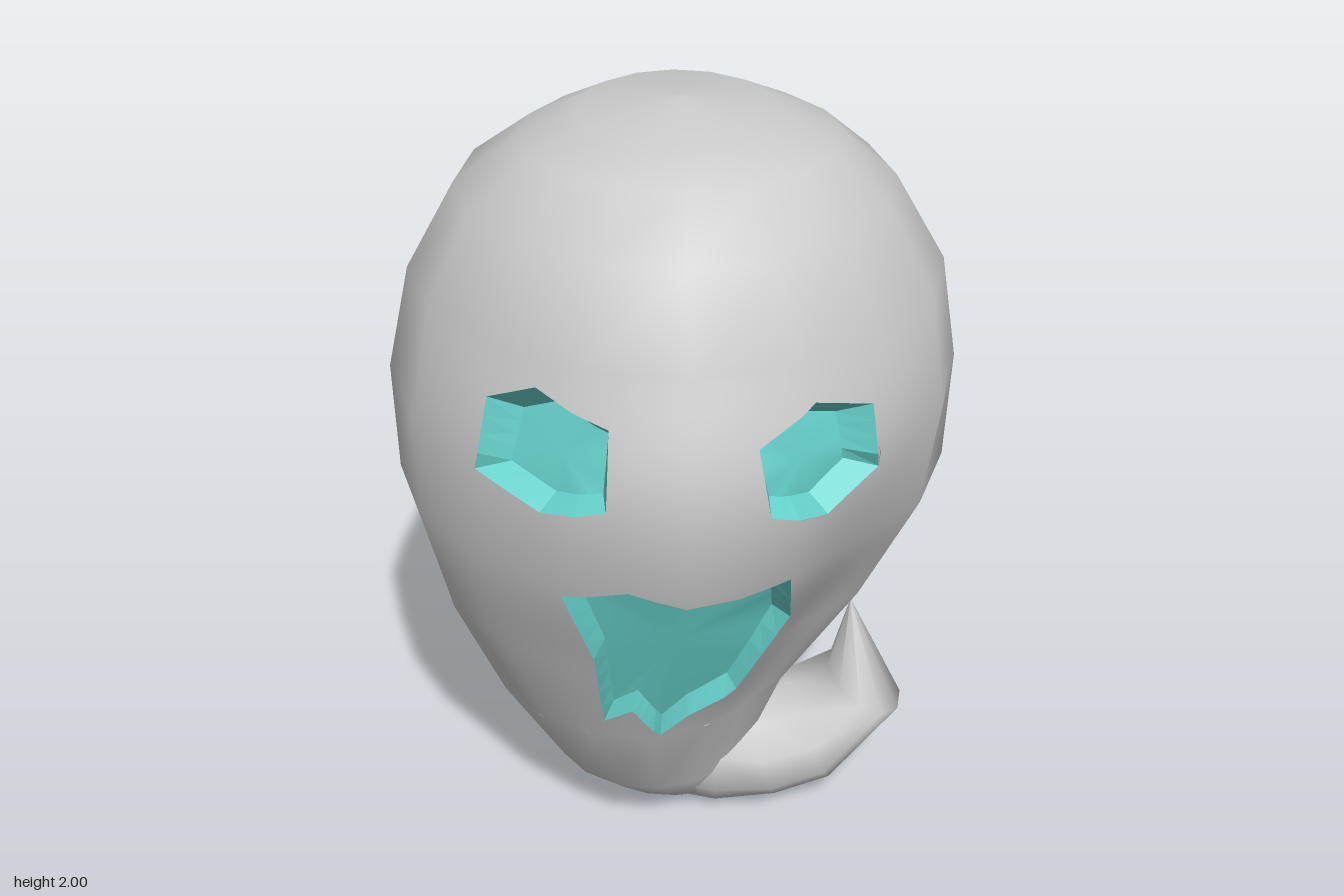
import * as THREE from 'three';
import { mergeGeometries } from 'three/addons/utils/BufferGeometryUtils.js';

const grey = new THREE.MeshStandardMaterial({ color: 0xcccccc });
const teal = new THREE.MeshStandardMaterial({ color: 0x66d0ca });

// Body rings from bottom to top: y, left x, right x, front z, back z,
// and how much the front is flattened on the -x and +x side
const RINGS = [
  [0.01, 0.08, 0.08, 0, 0, 0, 0],
  [0.07, -0.2, 0.2, 0.14, 0.18, 0, 0],
  [0.19, -0.32, 0.21, 0.25, 0.3, 0, 0.04],
  [0.45, -0.48, 0.33, 0.37, 0.46, 0.02, 0.13],
  [0.75, -0.61, 0.55, 0.52, 0.585, 0.03, 0.18],
  [1.05, -0.685, 0.68, 0.66, 0.67, 0.05, 0.13],
  [1.33, -0.69, 0.69, 0.7, 0.695, 0.06, 0.06],
  [1.59, -0.63, 0.645, 0.62, 0.66, 0.05, 0.04],
  [1.8, -0.51, 0.52, 0.52, 0.55, 0.02, 0.02],
  [1.91, -0.36, 0.39, 0.36, 0.38, 0, 0],
  [1.97, -0.22, 0.24, 0.27, 0.27, 0, 0],
  [2.0, 0.02, 0.02, 0, 0, 0, 0],
];
const ROWS = RINGS.length - 1, SIDES = 16, STEP = Math.PI * 2 / SIDES;
const spline = (fn) => new THREE.CatmullRomCurve3(RINGS.map(fn), false, 'catmullrom');
const widths = spline(([y, l, r]) => new THREE.Vector3((l + r) / 2, y, (r - l) / 2));
const depths = spline(([, , , f, b]) => new THREE.Vector3(f, b, 0));
const flats = spline((r) => new THREE.Vector3(r[5], r[6], 0));

// Smooth body: a is the angle from the front, t the ring number
function smoothSurface(a, t) {
  const w = widths.getPoint(t / ROWS), d = depths.getPoint(t / ROWS), f = flats.getPoint(t / ROWS);
  const s = Math.sin(a), c = Math.cos(a);
  const k = c > 0 ? 1 - (s < 0 ? f.x : f.y) * Math.sin(2 * a) ** 2 : 1;
  return new THREE.Vector3(w.x + w.z * s * k, w.y, c * k * (c > 0 ? d.x : d.y));
}

// Faceted body: straight between the sides and rings
function surface(a, t) {
  const i = Math.floor(a / STEP + 1e-6), j = Math.min(Math.floor(t + 1e-6), ROWS - 1);
  const row = (n) => smoothSurface(i * STEP, n).lerp(smoothSurface((i + 1) * STEP, n), a / STEP - i);
  return row(j).lerp(row(j + 1), t - j);
}

function surfaceNormal(a, t) {
  const e = 0.02, s = THREE.MathUtils.clamp(t, 0.1, ROWS - 0.1);
  const du = smoothSurface(a + e, s).sub(smoothSurface(a - e, s));
  const dv = smoothSurface(a, s + e).sub(smoothSurface(a, s - e));
  return du.cross(dv).normalize();
}

// Surface coordinates of a front point given by x and y
function locate(x, y) {
  const solve = (lo, hi, below) => {
    for (let i = 0; i < 24; i++) {
      const mid = (lo + hi) / 2;
      if (below(mid)) lo = mid; else hi = mid;
    }
    return lo;
  };
  const t = solve(0, ROWS, (m) => surface(0, m).y < y);
  return new THREE.Vector2(solve(-1.3, 1.3, (m) => surface(m, t).x < x), t);
}
const at = ([x, y]) => { const q = locate(x, y); return surface(q.x, q.y); };

// Split each edge of an outline so it follows the curved surface
function densify(points, n = 4) {
  return points.flatMap(([x, y], i) => {
    const [u, v] = points[(i + 1) % points.length];
    return Array.from({ length: n }, (_, k) => [x + (u - x) * k / n, y + (v - y) * k / n]);
  });
}

// Body skin: plain facets, with one refined panel in front that holds the openings
function bodyGeometry(outlines) {
  const positions = [], normals = [];
  const emit = (...points) => points.forEach((p) => {
    positions.push(...surface(p.x, p.y).toArray());
    normals.push(...surfaceNormal(p.x, p.y).toArray());
  });
  const V = (i, j) => new THREE.Vector2(i * STEP, j);
  const half = 3, low = 3, high = 7;
  for (let j = 0; j < ROWS; j++) {
    for (let i = -SIDES / 2; i < SIDES / 2; i++) {
      if (i >= -half && i < half && j >= low && j < high) continue;
      emit(V(i, j), V(i + 1, j), V(i + 1, j + 1), V(i, j), V(i + 1, j + 1), V(i, j + 1));
    }
  }
  const length = (p, q) => Math.hypot((p.x - q.x) * 0.6, (p.y - q.y) * 0.28);
  const refine = (a, b, c) => {
    const ab = length(a, b), bc = length(b, c), ca = length(c, a);
    const longest = Math.max(ab, bc, ca);
    if (longest < 0.07) return emit(a, b, c);
    if (longest === bc) return refine(b, c, a);
    if (longest === ca) return refine(c, a, b);
    const m = a.clone().add(b).multiplyScalar(0.5);
    refine(a, m, c);
    refine(m, b, c);
  };
  const contour = [V(-half, low), V(half, low), V(half, high), V(-half, high)];
  const holes = outlines.map((o) => o.map((p) => locate(...p)).reverse());
  const all = [contour, ...holes].flat();
  for (const f of THREE.ShapeUtils.triangulateShape(contour, holes)) {
    const [a, b, c] = f.map((i) => all[i]);
    const area = (b.x - a.x) * (c.y - a.y) - (b.y - a.y) * (c.x - a.x);
    if (area > 0) refine(a, b, c); else refine(a, c, b);
  }
  const g = new THREE.BufferGeometry();
  g.setAttribute('position', new THREE.Float32BufferAttribute(positions, 3));
  g.setAttribute('normal', new THREE.Float32BufferAttribute(normals, 3));
  return g;
}

// Recess: flat walls from the opening to a smaller, sunken, softly shaded floor
function recessGeometry(outline, { centre: [cx, cy], inset, depth, slope }) {
  const q = locate(cx, cy), inward = surfaceNormal(q.x, q.y).negate();
  const sunk = (x, y) => at([x, y]).addScaledVector(inward, depth + slope * (y - cy));
  const rim = outline.map(at);
  const edge = outline.map(([x, y]) => sunk(cx + (x - cx) * inset, cy + (y - cy) * inset));
  const n = rim.length, walls = [], fan = [];
  rim.forEach((p, i) => {
    const j = (i + 1) % n;
    walls.push(p, rim[j], edge[j], p, edge[j], edge[i]);
    fan.push(n, i, j);
  });
  const wall = new THREE.BufferGeometry().setFromPoints(walls);
  const floor = new THREE.BufferGeometry().setFromPoints([...edge, sunk(cx, cy)]).setIndex(fan);
  wall.computeVertexNormals();
  floor.computeVertexNormals();
  return mergeGeometries([wall, floor.toNonIndexed()]);
}

// Curled tail lofted from oval sections: outer x, y, inner x, y, half width in z
function tailGeometry() {
  const sections = [
    [-0.07, 0.04, -0.02, 0.38, 0.18],
    [0.11, 0.0, 0.09, 0.36, 0.2],
    [0.28, 0.02, 0.2, 0.32, 0.2],
    [0.43, 0.07, 0.33, 0.34, 0.185],
    [0.62, 0.3, 0.42, 0.39, 0.15],
    [0.47, 0.61, 0.47, 0.61, 0],
  ];
  const sides = 10, positions = [], index = [];
  sections.forEach(([ox, oy, ix, iy, hz], j) => {
    for (let k = 0; k < sides; k++) {
      const a = k / sides * Math.PI * 2, c = Math.cos(a) / 2;
      positions.push((ox + ix) / 2 + (ox - ix) * c, (oy + iy) / 2 + (oy - iy) * c, hz * Math.sin(a));
      if (j === sections.length - 1) continue;
      const p = j * sides + k, n = j * sides + (k + 1) % sides;
      index.push(p, p + sides, n, n, p + sides, n + sides);
    }
  });
  const g = new THREE.BufferGeometry();
  g.setAttribute('position', new THREE.Float32BufferAttribute(positions, 3));
  g.setIndex(index);
  g.computeVertexNormals();
  return g;
}

export function createModel() {
  const group = new THREE.Group();
  const add = (name, geometry, material) => {
    const mesh = new THREE.Mesh(geometry, material);
    mesh.name = name;
    group.add(mesh);
  };

  // Face openings, counter-clockwise in x and y
  const face = [
    { name: 'rightEye', centre: [-0.31, 1.385], inset: 0.7, depth: 0.07, slope: 0.1,
      points: [[-0.465, 1.3], [-0.32, 1.25], [-0.175, 1.29], [-0.165, 1.475], [-0.32, 1.53], [-0.43, 1.475]] },
    { name: 'leftEye', centre: [0.295, 1.355], inset: 0.7, depth: 0.07, slope: 0.1,
      points: [[0.185, 1.26], [0.32, 1.215], [0.44, 1.29], [0.42, 1.45], [0.28, 1.505], [0.155, 1.43]] },
    { name: 'mouth', centre: [-0.01, 0.82], inset: 0.85, depth: 0.06, slope: 0.1,
      points: [[-0.19, 0.52], [-0.12, 0.58], [-0.05, 0.46], [0.02, 0.53], [0.14, 0.59], [0.26, 0.85],
        [0.24, 1.06], [0.12, 1.03], [0, 1.04], [-0.13, 1.07], [-0.28, 1.03], [-0.21, 0.8]] },
  ];
  const outlines = face.map((f) => densify(f.points));

  add('body', bodyGeometry(outlines), grey);
  face.forEach((f, i) => add(f.name, recessGeometry(outlines[i], f), teal));
  add('tail', tailGeometry(), grey);
  return group;
}
